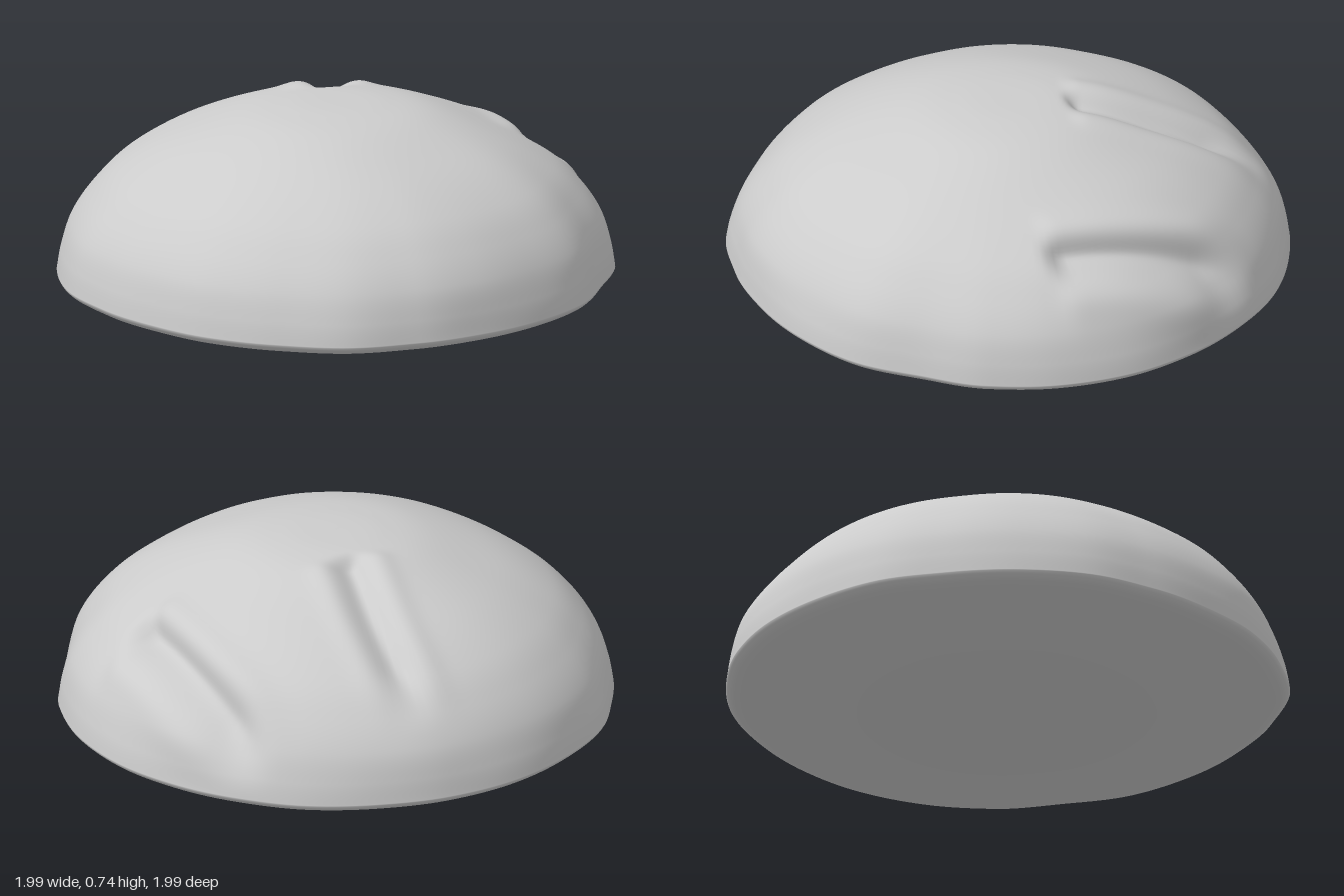
import * as THREE from 'three';
import { mergeVertices } from 'three/addons/utils/BufferGeometryUtils.js';

// outline radius every 15 degrees, from +x towards +z
const OUTLINE = [0.993, 0.985, 0.962, 0.98, 0.975, 0.975, 0.985, 1.005, 0.99, 0.986, 0.976, 0.982,
  0.998, 0.993, 0.99, 1.008, 1.003, 1.004, 1.0, 0.993, 0.995, 0.987, 0.988, 0.994];

function outlineRadius(angle) {
  const n = OUTLINE.length;
  const t = (((angle / (Math.PI * 2)) % 1) + 1) % 1 * n;
  const i = Math.floor(t) % n, f = t - Math.floor(t);
  const s = f * f * (3 - 2 * f);
  return OUTLINE[i] * (1 - s) + OUTLINE[(i + 1) % n] * s;
}

// scored slashes in the crust: start and end in (x, z), and depth
const SLASHES = [
  { a: [0.06, -0.92], b: [0.035, -0.2], depth: 0.045 },
  { a: [0.61, -0.8], b: [0.76, 0.0], depth: 0.06 },
];

// inward offset of a slash: steep inner wall, gentler outer wall, raised lips
function slashOffset(x, z) {
  let sum = 0;
  for (const { a, b, depth } of SLASHES) {
    const dx = b[0] - a[0], dz = b[1] - a[1], len = Math.hypot(dx, dz);
    const t = ((x - a[0]) * dx + (z - a[1]) * dz) / (len * len);
    const d = ((x - a[0]) * dz - (z - a[1]) * dx) / len;
    const bow = d - 0.03 * Math.sin(Math.PI * THREE.MathUtils.clamp(t, 0, 1));
    const ends = THREE.MathUtils.smoothstep(t, 0, 0.3) * (1 - THREE.MathUtils.smoothstep(t, 0.92, 1.03));
    const groove = Math.exp(-Math.pow(bow / (bow < 0 ? 0.045 : 0.065), 2));
    const lip = Math.exp(-Math.pow((bow - 0.12) / 0.05, 2)) + Math.exp(-Math.pow((bow + 0.1) / 0.05, 2));
    sum += ends * depth * (groove - 0.25 * lip);
  }
  return sum;
}

function loafGeometry() {
  // underside, tight rim, then domed crust
  const under = new THREE.SplineCurve([[0, 0.003], [0.3, 0.01], [0.6, 0.03], [0.85, 0.065], [0.96, 0.09], [0.995, 0.112]]
    .map(p => new THREE.Vector2(...p)));
  const crust = new THREE.SplineCurve([[1, 0.12], [0.985, 0.2], [0.95, 0.3], [0.88, 0.4], [0.775, 0.5],
    [0.6, 0.605], [0.36, 0.7], [0.18, 0.733], [0, 0.74]].map(p => new THREE.Vector2(...p)));
  const profile = [...under.getPoints(24), ...crust.getPoints(100)];
  profile[0].x = profile[profile.length - 1].x = 0;

  let geo = new THREE.LatheGeometry(profile, 180);
  geo.deleteAttribute('uv');
  geo.deleteAttribute('normal');
  geo = mergeVertices(geo, 1e-5);

  const pos = geo.attributes.position;
  for (let i = 0; i < pos.count; i++) {
    let x = pos.getX(i), y = pos.getY(i), z = pos.getZ(i);
    const r = Math.hypot(x, z), angle = Math.atan2(z, x);
    // uneven hand-shaped outline, fading towards the crown
    const k = 1 + (outlineRadius(angle) - 1) * r * r;
    x *= k;
    z *= k;
    if (y > 0.13 && r > 0.001) {
      const fade = THREE.MathUtils.smoothstep(y, 0.13, 0.3);
      // soft lumps plus the slashes, pushed along the dome's slope
      const lump = 0.005 * Math.sin(5 * x + 1) * Math.sin(6 * z + 2) + 0.003 * Math.sin(9 * x - 7 * z);
      const off = (lump * Math.min(1, r * 2) - slashOffset(x, z)) * fade;
      const n = new THREE.Vector3(x, y + 0.15, z).normalize();
      x += n.x * off;
      y += n.y * off;
      z += n.z * off;
    }
    pos.setXYZ(i, x, y, z);
  }
  geo.computeVertexNormals();
  return geo;
}

export function createModel() {
  const group = new THREE.Group();
  group.name = 'roundLoaf';
  const crustGrey = new THREE.MeshStandardMaterial({ color: 0xcccccc });
  crustGrey.name = 'crustGrey';
  const loaf = new THREE.Mesh(loafGeometry(), crustGrey);
  loaf.name = 'loaf';
  group.add(loaf);
  return group;
}
